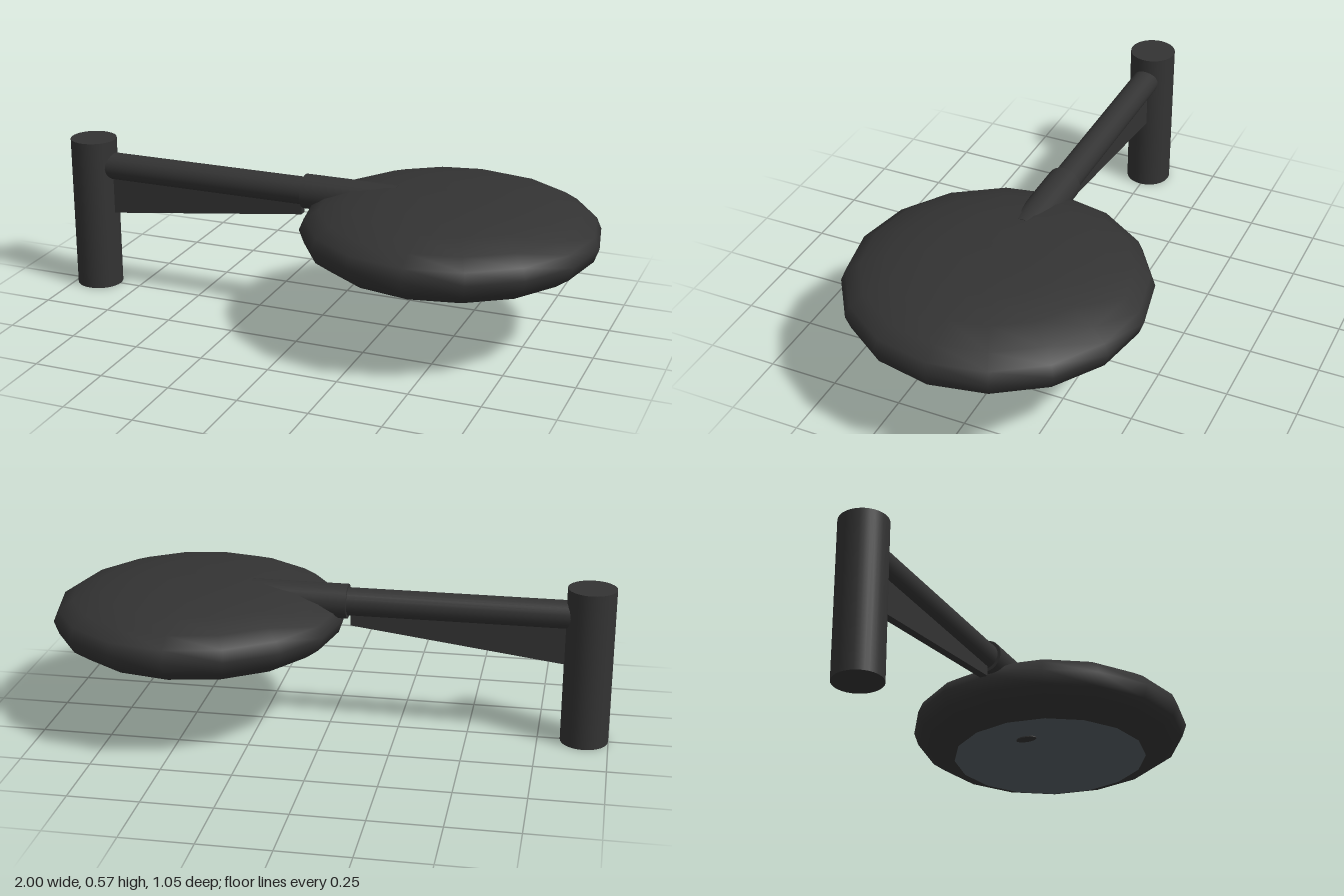
import * as THREE from 'three';

export function createModel() {
  const group = new THREE.Group();
  group.name = 'wallLamp';
  const body = new THREE.MeshStandardMaterial({ name: 'charcoal', color: 0x333333 });
  const glass = new THREE.MeshStandardMaterial({ name: 'smokedGlass', color: 0x565e63 });

  const add = (name, geometry, material, x, y, z = 0) => {
    const mesh = new THREE.Mesh(geometry, material);
    mesh.name = name;
    mesh.position.set(x, y, z);
    group.add(mesh);
    return mesh;
  };
  // round bar lying along x
  const bar = (name, radius, x0, x1, y) =>
    add(name, new THREE.CylinderGeometry(radius, radius, x1 - x0, 24).rotateZ(Math.PI / 2), body, (x0 + x1) / 2, y);

  // upright post and horizontal arm
  add('post', new THREE.CylinderGeometry(0.085, 0.085, 0.57, 32), body, -0.915, 0.285);
  bar('arm', 0.05, -0.9, 0.1, 0.47);
  bar('sleeve', 0.062, -0.065, 0.28, 0.47);

  // tapering brace under the arm
  const brace = new THREE.Shape([
    new THREE.Vector2(-0.86, 0.286), new THREE.Vector2(-0.075, 0.385),
    new THREE.Vector2(-0.075, 0.45), new THREE.Vector2(-0.86, 0.45),
  ]);
  add('brace', new THREE.ExtrudeGeometry(brace, { depth: 0.03, bevelEnabled: false }), body, 0, 0, -0.015);

  // flattened sixteen-sided lamp head, open at the bottom
  const profile = [
    [0.365, 0.28], [0.455, 0.315], [0.506, 0.352], [0.523, 0.4], [0.506, 0.44], [0.455, 0.473],
    [0.365, 0.506], [0.24, 0.527], [0.12, 0.535], [0, 0.537],
  ].map(([r, y]) => new THREE.Vector2(r, y));
  add('lampHead', new THREE.LatheGeometry(profile, 16), body, 0.475, 0);

  // lens closing the head, with a small oval sensor
  add('lens', new THREE.CircleGeometry(0.365, 16).rotateX(Math.PI / 2), glass, 0.475, 0.28);
  add('sensor', new THREE.CylinderGeometry(0.04, 0.04, 0.006, 20).scale(0.55, 1, 1), body, 0.27, 0.279);

  return group;
}
